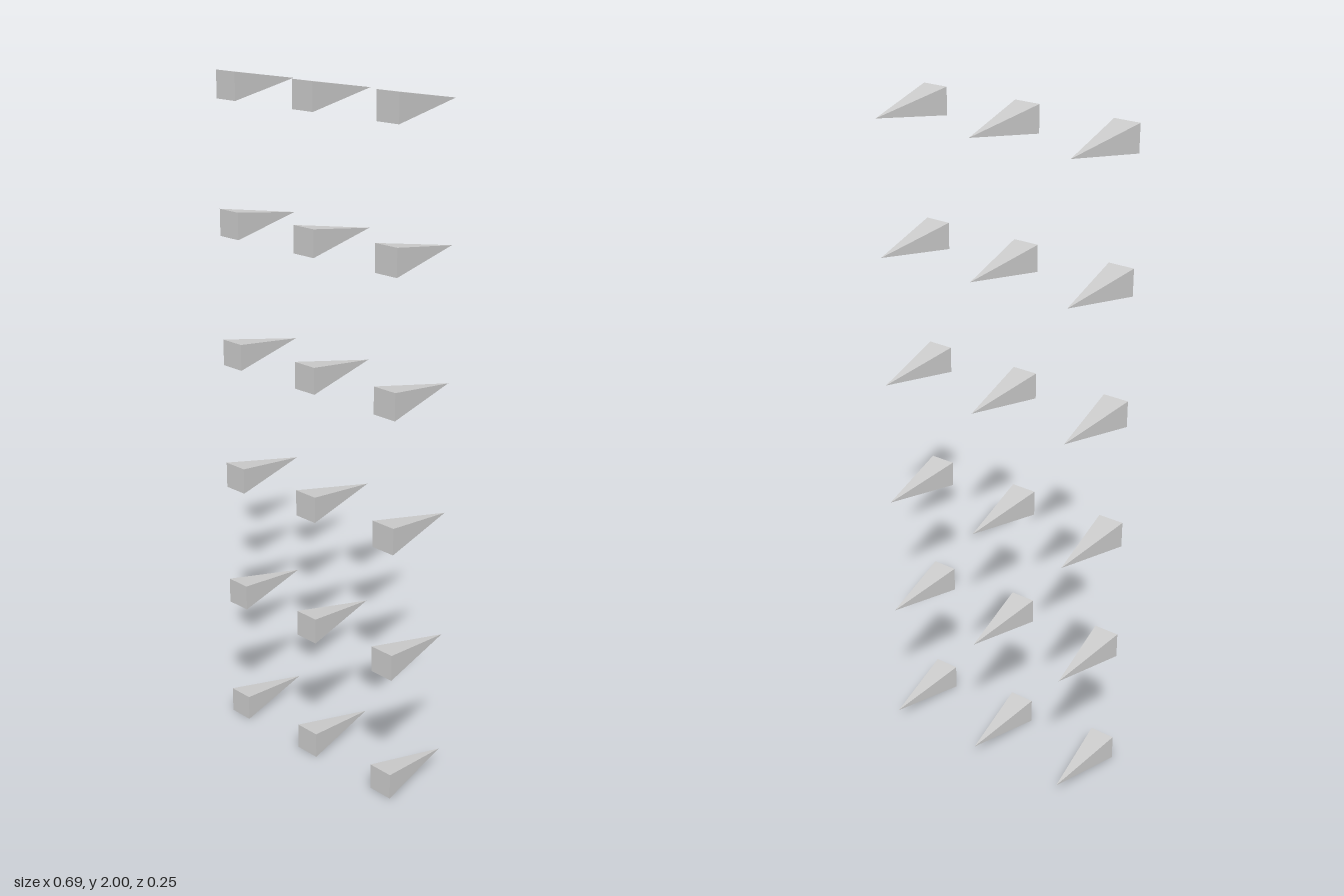
import * as THREE from 'three';

const HALF = 0.039;     // half the width of a spike's square base
const LENGTH = 0.252;   // base to tip
const COLUMN_GAP = 0.307;
const ROWS = 6;
const COLUMNS = 3;

export function createModel() {
  const model = new THREE.Group();
  model.name = 'spikeGrid';
  const material = new THREE.MeshStandardMaterial({ color: 0xcccccc, flatShading: true });

  // Square pyramid, base facing the front and tip pointing back
  const spike = new THREE.ConeGeometry(HALF * Math.SQRT2, LENGTH, 4);
  spike.rotateY(Math.PI / 4);
  spike.rotateX(-Math.PI / 2);

  // Rows spread evenly over the full height
  const rowGap = (2 - 2 * HALF) / (ROWS - 1);
  for (let r = 0; r < ROWS; r++) {
    const row = new THREE.Group();
    row.name = `spikeRow${r + 1}`;
    row.position.y = HALF + r * rowGap;
    for (let c = 0; c < COLUMNS; c++) {
      const mesh = new THREE.Mesh(spike, material);
      mesh.name = `spike${r + 1}_${c + 1}`;
      mesh.position.x = (c - (COLUMNS - 1) / 2) * COLUMN_GAP;
      row.add(mesh);
    }
    model.add(row);
  }
  return model;
}
